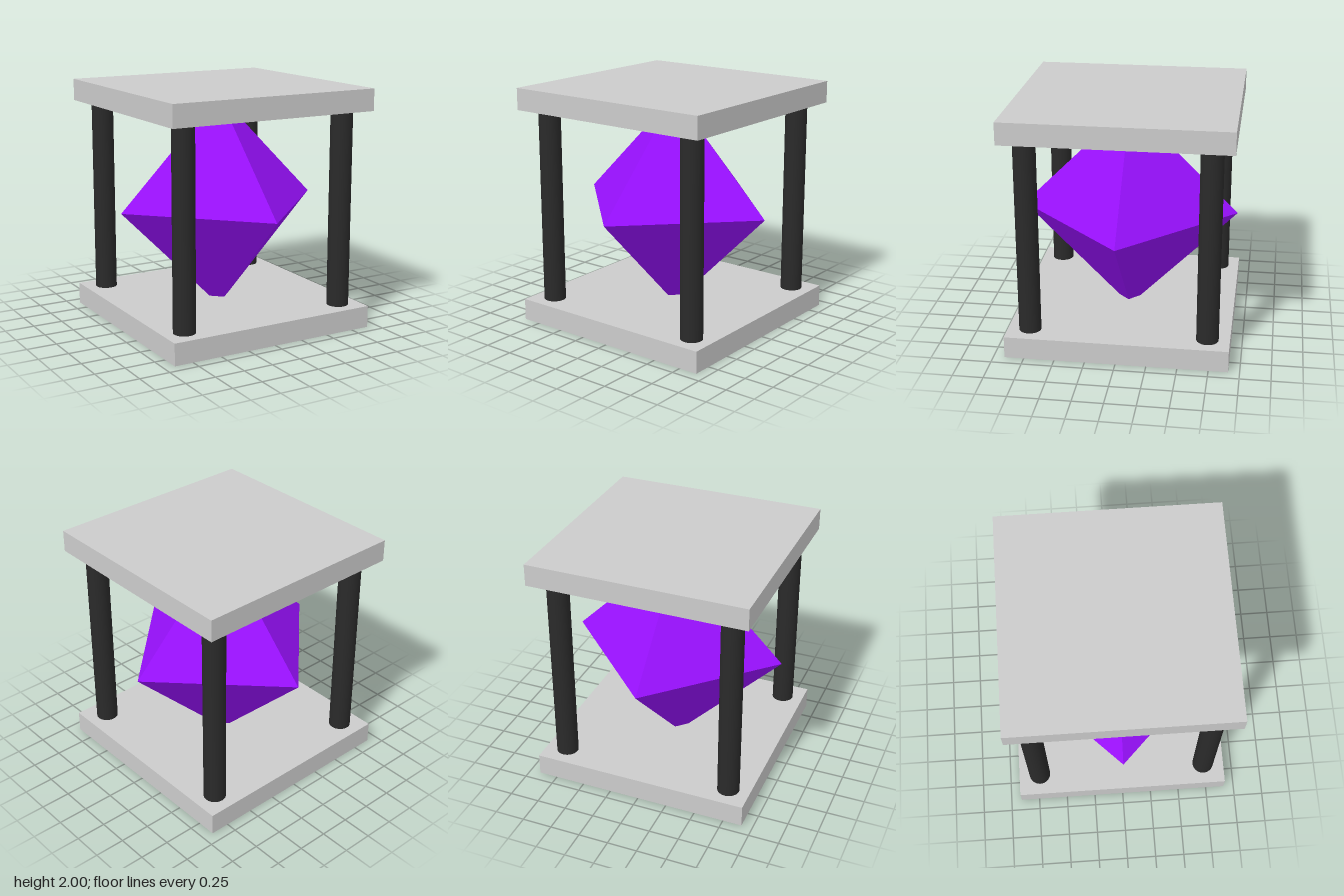
import * as THREE from 'three';

export function createModel() {
  const group = new THREE.Group();
  const grey = new THREE.MeshStandardMaterial({ color: 0xcccccc });
  const black = new THREE.MeshStandardMaterial({ color: 0x2a2a2a });
  const purple = new THREE.MeshStandardMaterial({ color: 0x9910ff, flatShading: true });

  const add = (name, geometry, material, x, y, z) => {
    const mesh = new THREE.Mesh(geometry, material);
    mesh.name = name;
    mesh.position.set(x, y, z);
    group.add(mesh);
  };

  const unit = 1 / 11; // pillar radius; all other sizes are multiples of it

  // Square slabs at the bottom and top
  const slab = new THREE.BoxGeometry(20 * unit, 2 * unit, 20 * unit);
  add('baseSlab', slab, grey, 0, unit, 0);
  add('topSlab', slab, grey, 0, 2 - unit, 0);

  // Four round corner pillars between the slabs
  const pillar = new THREE.CylinderGeometry(unit, unit, 18 * unit, 32);
  for (const [side, x] of [['Left', 1], ['Right', -1]]) {
    for (const [end, z] of [['front', 1], ['back', -1]]) {
      add(`${end}${side}Pillar`, pillar, black, x * 8 * unit, 1, z * 8 * unit);
    }
  }

  // Eight-sided crystal, its tips sunk into the slabs
  add('crystal', new THREE.OctahedronGeometry(10 * unit), purple, 0, 1, 0);

  return group;
}
